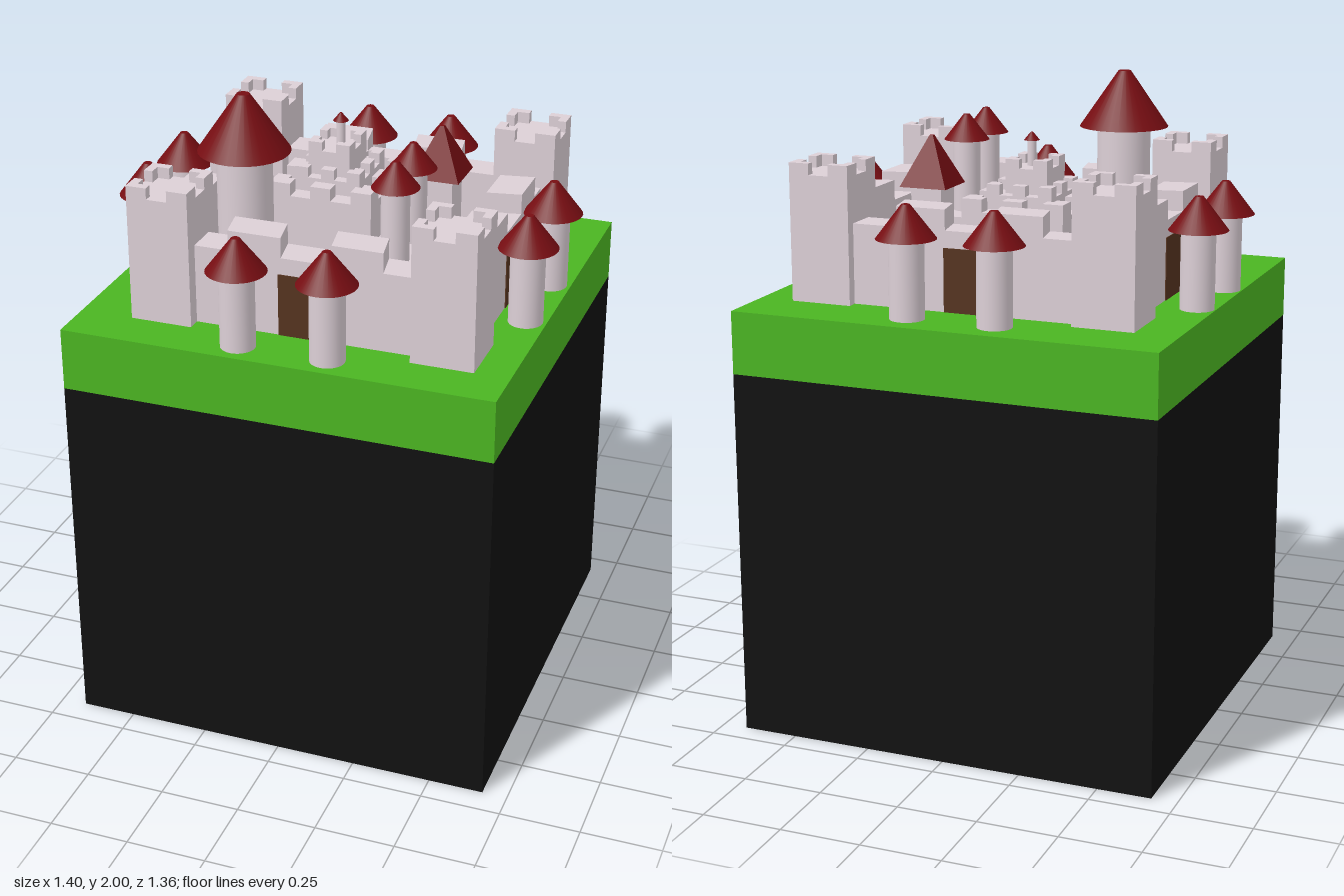
import * as THREE from 'three';

const mat = (color) => new THREE.MeshStandardMaterial({ color });

export function createModel() {
  const model = new THREE.Group();
  const stone = mat(0xdccfd6), red = mat(0x760d12), grass = mat(0x4bb522);
  const earth = mat(0x111111), wood = mat(0x55331f);
  const GROUND = 1.35;

  const add = (parent, name, geometry, material, x, y, z) => {
    const mesh = new THREE.Mesh(geometry, material);
    mesh.name = name;
    mesh.position.set(x, y, z);
    parent.add(mesh);
    return mesh;
  };
  // Box given by its limits on each axis
  const block = (parent, name, material, x0, x1, y0, y1, z0, z1) =>
    add(parent, name, new THREE.BoxGeometry(x1 - x0, y1 - y0, z1 - z0), material,
      (x0 + x1) / 2, (y0 + y1) / 2, (z0 + z1) / 2);
  const group = (name) => {
    const g = new THREE.Group();
    g.name = name;
    model.add(g);
    return g;
  };

  // Ground cube
  block(model, 'earthBlock', earth, -0.67, 0.672, 0, 1.155, -0.677, 0.669);
  block(model, 'grassLayer', grass, -0.67, 0.672, 1.155, GROUND, -0.677, 0.669);

  // Square block with a notched parapet around its flat top
  function battlement(name, cx, cz, w, d, y0, floor, top, rim, notches) {
    const g = group(name);
    block(g, 'body', stone, cx - w / 2, cx + w / 2, y0, floor, cz - d / 2, cz + d / 2);
    const n = 2 * notches + 1;
    for (let i = 0; i < n; i += 2) {
      const x0 = cx - w / 2 + (w * i) / n, x1 = x0 + w / n;
      let z0 = cz - d / 2 + (d * i) / n, z1 = z0 + d / n;
      // Corner merlons meet without overlapping
      if (i === 0) z0 += rim;
      if (i === n - 1) z1 -= rim;
      for (const s of [-1, 1]) {
        const ze = cz + s * (d / 2 - rim / 2), xe = cx + s * (w / 2 - rim / 2);
        block(g, 'merlon', stone, x0, x1, floor, top, ze - rim / 2, ze + rim / 2);
        block(g, 'merlon', stone, xe - rim / 2, xe + rim / 2, floor, top, z0, z1);
      }
    }
  }

  // Round tower with an overhanging conical roof
  function roundTower(name, x, z, r, y0, eaves, roofR, tip) {
    const g = group(name);
    add(g, 'shaft', new THREE.CylinderGeometry(r, r, eaves - y0, 32), stone, x, (y0 + eaves) / 2, z);
    add(g, 'roof', new THREE.CylinderGeometry(roofR * 0.14, roofR, tip - eaves, 32), red,
      x, (eaves + tip) / 2, z);
  }

  // Corner towers
  for (const [x, z] of [[-0.437, -0.391], [0.467, -0.391], [-0.409, 0.425], [0.467, 0.425]])
    battlement('cornerTower', x, z, 0.193, 0.193, GROUND, 1.74, 1.775, 0.027, 1);

  // Curtain walls: low body, slightly skewed merlons, a door through the middle
  function wall(name, alongX, from, to, c, merlons, door) {
    const g = group(name), h = 0.053;
    const piece = (label, material, a, b, y0, y1, half) => alongX
      ? block(g, label, material, a, b, y0, y1, c - half, c + half)
      : block(g, label, material, c - half, c + half, y0, y1, a, b);
    piece('body', stone, from, to, GROUND, 1.597, h);
    for (const [a, b] of merlons) {
      const p = piece('merlon', stone, a, b, 1.597, 1.66, h).geometry.attributes.position;
      for (let i = 0; i < p.count; i++) {
        if (alongX) p.setX(i, p.getX(i) + 0.18 * p.getZ(i));
        else p.setZ(i, p.getZ(i) - 0.18 * p.getX(i));
      }
    }
    piece('door', wood, door[0], door[1], GROUND, 1.545, h + 0.003);
  }
  const sideMerlons = [[-0.215, -0.065], [0.085, 0.24]];
  wall('frontWall', true, -0.313, 0.371, 0.425, [[-0.216, -0.05], [0.107, 0.264]], [-0.05, 0.092]);
  wall('backWall', true, -0.341, 0.371, -0.401, [[-0.23, -0.075], [0.08, 0.237]], [-0.065, 0.075]);
  wall('rightWall', false, -0.295, 0.329, -0.437, sideMerlons, [-0.07, 0.077]);
  wall('leftWall', false, -0.295, 0.329, 0.471, sideMerlons, [-0.07, 0.077]);

  // Pairs of gate turrets outside each wall
  for (const t of [-0.135, 0.143]) {
    for (const z of [-0.57, 0.587])
      roundTower('gateTurret', t, z, 0.053, GROUND, 1.59, 0.091, 1.692);
    for (const x of [-0.612, 0.608])
      roundTower('gateTurret', x, t, 0.053, GROUND, 1.59, 0.091, 1.692);
  }

  // Great round tower
  roundTower('greatTower', -0.24, 0.256, 0.084, GROUND, 1.825, 0.14, 2.0);

  // Stepped keep crowned by a tiny turret
  battlement('keepLowerTier', -0.067, -0.092, 0.327, 0.35, GROUND, 1.62, 1.66, 0.045, 2);
  battlement('keepMiddleTier', -0.065, -0.09, 0.21, 0.23, 1.62, 1.665, 1.697, 0.03, 2);
  battlement('keepUpperTier', -0.072, -0.086, 0.135, 0.154, 1.665, 1.742, 1.77, 0.025, 1);
  roundTower('keepTurret', -0.061, -0.086, 0.014, 1.742, 1.82, 0.024, 1.845);

  // Hall with two turrets
  block(model, 'hall', stone, 0.14, 0.37, GROUND, 1.55, -0.025, 0.321);
  for (const z of [0.109, 0.27])
    roundTower('hallTurret', 0.238, z, 0.043, 1.55, 1.777, 0.072, 1.857);

  // Square tower with a pyramid roof
  const sq = group('squareTower');
  block(sq, 'body', stone, 0.2, 0.3, GROUND, 1.67, -0.187, -0.087);
  const pyramid = new THREE.CylinderGeometry(0.008, 0.077 * Math.SQRT2, 0.155, 4, 1).toNonIndexed();
  pyramid.rotateY(Math.PI / 4);
  pyramid.computeVertexNormals();
  add(sq, 'roof', pyramid, red, 0.25, 1.7475, -0.137);

  return model;
}
